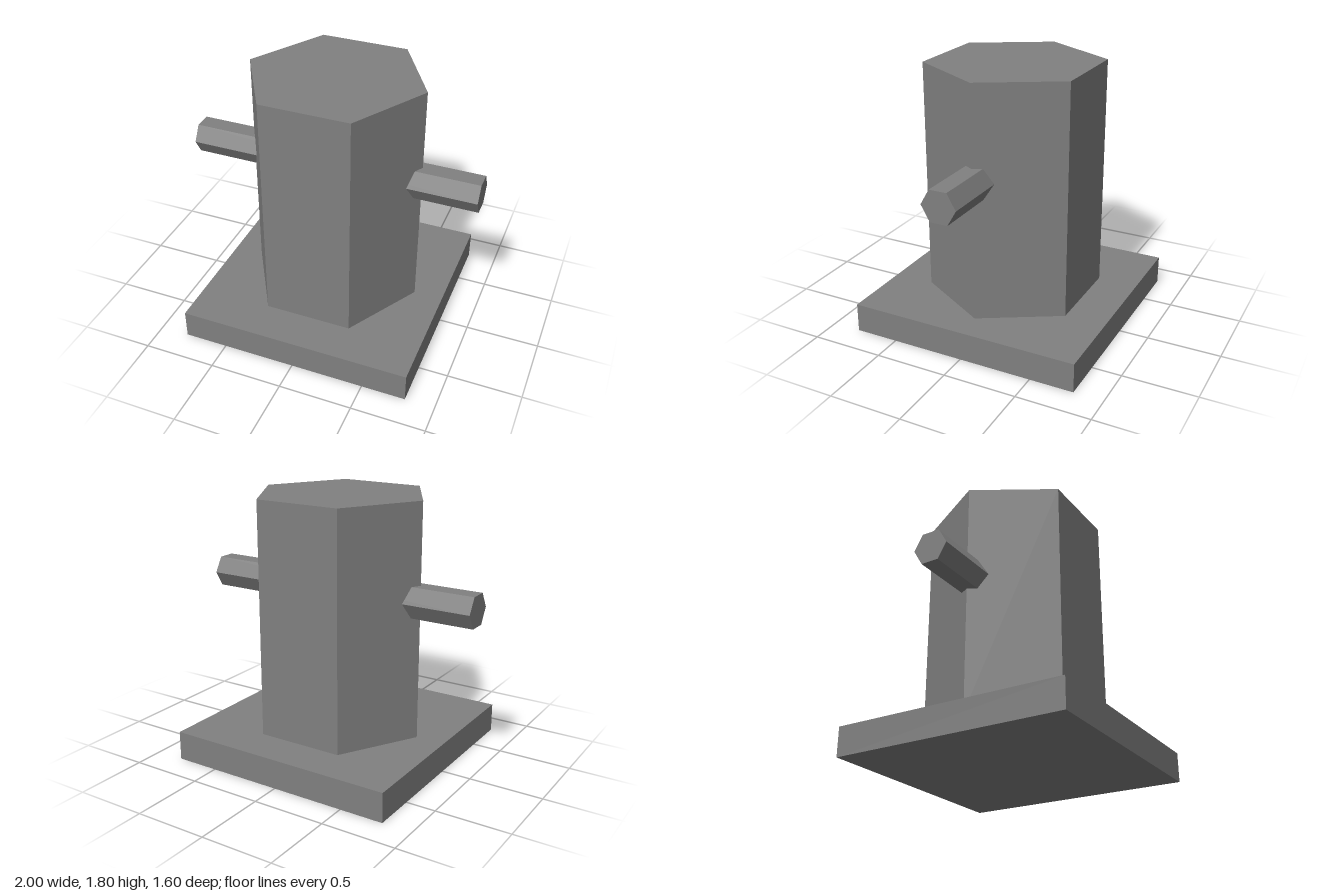
import * as THREE from 'three';

export function createModel() {
  const model = new THREE.Group();
  model.name = 'bollard';

  const grey = new THREE.MeshStandardMaterial({ color: 0x808080 });
  grey.name = 'grey';
  grey.flatShading = true;

  function add(name, geometry, y) {
    const mesh = new THREE.Mesh(geometry, grey);
    mesh.name = name;
    mesh.position.y = y;
    model.add(mesh);
    return mesh;
  }

  // Square base plate
  add('basePlate', new THREE.BoxGeometry(1.6, 0.2, 1.6), 0.1);

  // Hexagonal post with corners pointing to the left and right
  add('post', new THREE.CylinderGeometry(0.6, 0.6, 1.6, 6, 1, false, Math.PI / 2), 1.0);

  // Hexagonal crossbar running through the post, flat on top
  const crossbar = add('crossbar', new THREE.CylinderGeometry(0.12, 0.12, 2, 6), 1.15);
  crossbar.rotation.z = Math.PI / 2;

  return model;
}
